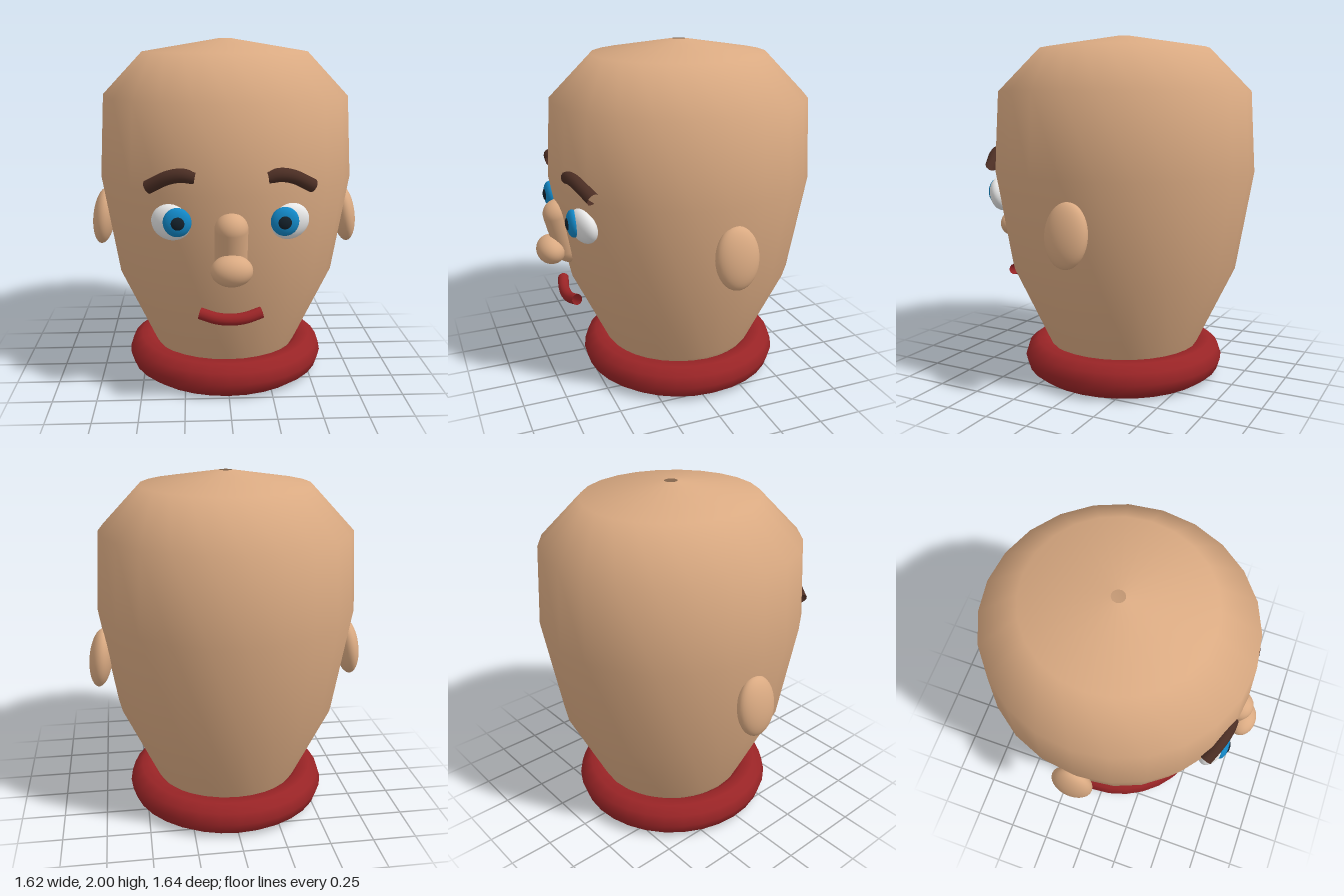
import * as THREE from 'three';

const mat = (name, color, side = THREE.FrontSide) => {
  const m = new THREE.MeshStandardMaterial({ color, side });
  m.name = name;
  return m;
};

export function createModel() {
  const model = new THREE.Group();
  model.name = 'puppetHead';

  const skin = mat('skin', 0xdaaa82, THREE.DoubleSide);
  const red = mat('red', 0x992426, THREE.DoubleSide);
  const brown = mat('brown', 0x4a2d23, THREE.DoubleSide);
  const white = mat('eyeWhite', 0xebebeb);
  const blue = mat('irisBlue', 0x1287c6);
  const dark = mat('pupilDark', 0x14212b);

  const add = (name, geometry, material, position = [0, 0, 0], rotation = [0, 0, 0]) => {
    const mesh = new THREE.Mesh(geometry, material);
    mesh.name = name;
    mesh.position.set(...position);
    mesh.rotation.set(...rotation);
    model.add(mesh);
    return mesh;
  };
  const ellipsoid = (x, y, z) => new THREE.SphereGeometry(1, 32, 20).scale(x, y, z);
  const tube = (points, radius) => new THREE.TubeGeometry(
    new THREE.CatmullRomCurve3(points.map(p => new THREE.Vector3(...p))), 20, radius, 14);

  // Head: turned profile, slightly deeper than wide, with a small hole at each end
  const profile = [
    [0.07, 0.11], [0.395, 0.11], [0.44, 0.2], [0.648, 0.65],
    [0.743, 1.22], [0.717, 1.68], [0.485, 1.925], [0.036, 2.0],
  ].map(p => new THREE.Vector2(...p));
  add('head', new THREE.LatheGeometry(profile, 24).scale(1, 1, 1.037), skin, [0, 0, -0.05]);

  // Collar ring around the neck
  add('collar', new THREE.TorusGeometry(0.492, 0.104, 10, 32).rotateX(Math.PI / 2), red, [0, 0.1, -0.05]);

  // Nose: leaning bridge and round tip
  add('noseBridge', new THREE.CapsuleGeometry(0.0875, 0.22, 10, 24), skin, [0, 0.94, 0.66], [0.26, 0, 0]);
  add('noseTip', ellipsoid(0.11, 0.084, 0.084), skin, [0, 0.838, 0.74]);

  // Mouth: gently smiling tube just in front of the face
  add('mouth', tube([
    [-0.165, 0.572, 0.64], [-0.075, 0.549, 0.66], [0, 0.543, 0.665],
    [0.075, 0.549, 0.66], [0.165, 0.572, 0.64],
  ], 0.032), red);

  // Paired features
  for (const [side, s] of [['left', 1], ['right', -1]]) {
    add(side + 'Ear', ellipsoid(0.067, 0.175, 0.125), skin, [s * 0.738, 0.94, -0.087], [0, 0, s * 0.13]);

    add(side + 'EyeWhite', ellipsoid(0.108, 0.1, 0.06), white, [s * 0.31, 1.07, 0.622], [0.18, s * 0.3, 0]);
    add(side + 'Iris', ellipsoid(0.074, 0.077, 0.036), blue, [s * 0.278, 1.08, 0.672]);
    add(side + 'Pupil', ellipsoid(0.041, 0.041, 0.022), dark, [s * 0.276, 1.08, 0.692]);

    add(side + 'Eyebrow', tube([
      [s * 0.185, 1.312, 0.668], [s * 0.245, 1.323, 0.664],
      [s * 0.32, 1.31, 0.645], [s * 0.43, 1.252, 0.598],
    ], 0.037), brown);
  }

  return model;
}
